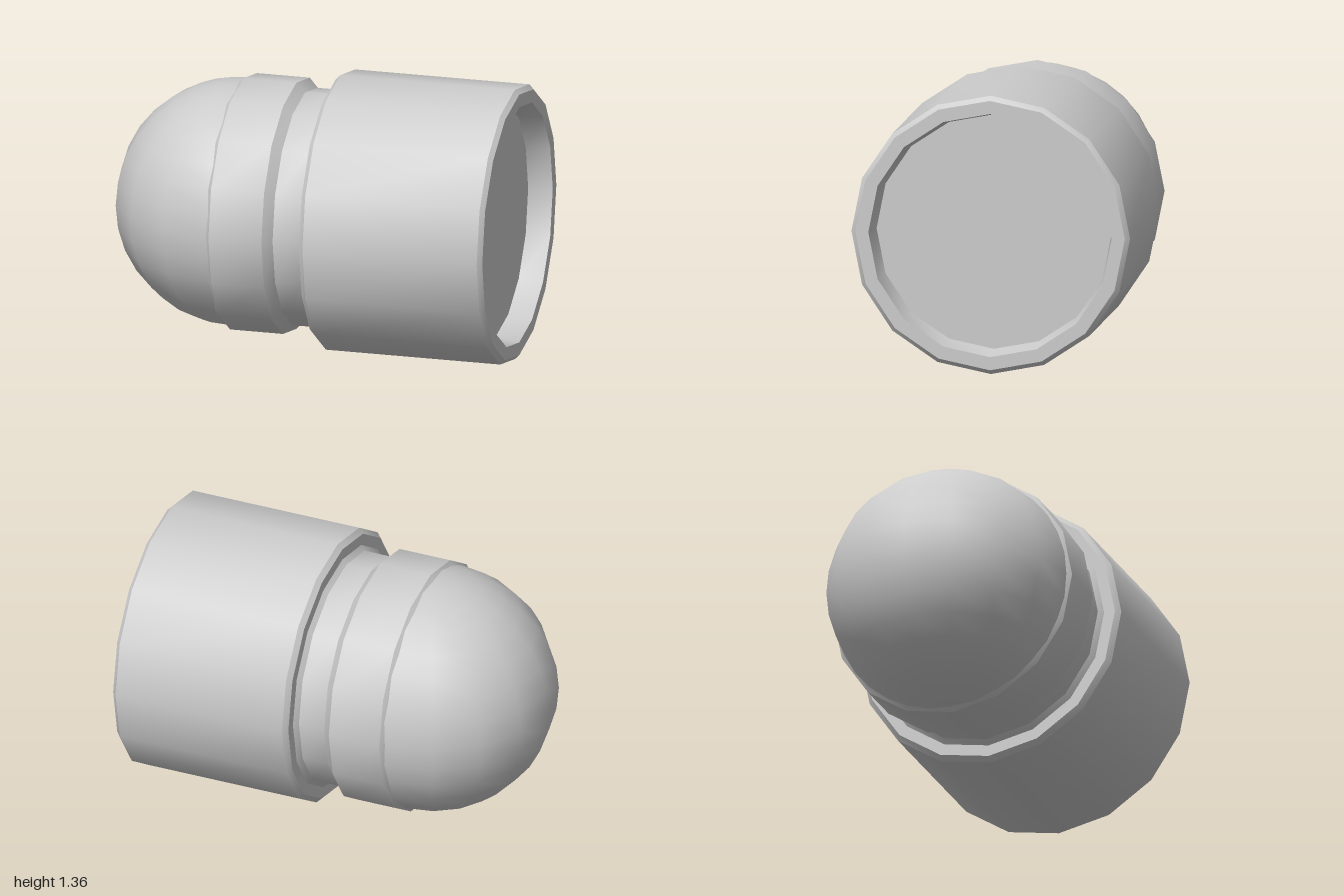
import * as THREE from 'three';
import { toCreasedNormals } from 'three/addons/utils/BufferGeometryUtils.js';

const SIDES = 16;
const STEP = (Math.PI * 2) / SIDES;
const AXIS_Y = 0.68;

export function createModel() {
  const model = new THREE.Group();
  model.name = 'domedPlug';
  const material = new THREE.MeshStandardMaterial({ color: 0xcccccc });

  const add = (name, geometry, x = 0) => {
    const mesh = new THREE.Mesh(geometry, material);
    mesh.name = name;
    mesh.position.set(x, AXIS_Y, 0);
    model.add(mesh);
  };

  // Turns a profile of [x, radius] points about the x axis, keeping edges sharp
  const turned = (name, profile) => {
    const points = profile.map(([x, r]) => new THREE.Vector2(r, x));
    const geometry = new THREE.LatheGeometry(points, SIDES).rotateZ(-Math.PI / 2);
    add(name, toCreasedNormals(geometry, Math.PI / 6));
  };

  // Rounded nose: half a sphere, run slightly into the collar
  add('dome', new THREE.SphereGeometry(0.6, 10, 16, -5 * STEP, 10 * STEP), -0.4);

  // Chamfered collar behind the nose
  turned('collar', [[-0.4, 0], [-0.4, 0.6], [-0.38, 0.622], [-0.115, 0.622], [-0.072, 0.576]]);

  // Narrow neck with a small flare into the sleeve
  turned('neck', [[-0.072, 0.576], [0.061, 0.576], [0.082, 0.6]]);

  // Wide sleeve with chamfered rims and a tapered recess at its end
  turned('sleeve', [
    [0.082, 0.6], [0.082, 0.656], [0.106, 0.68], [0.978, 0.68], [1, 0.658],
    [1, 0.594], [0.883, 0.573], [0.883, 0],
  ]);

  return model;
}
